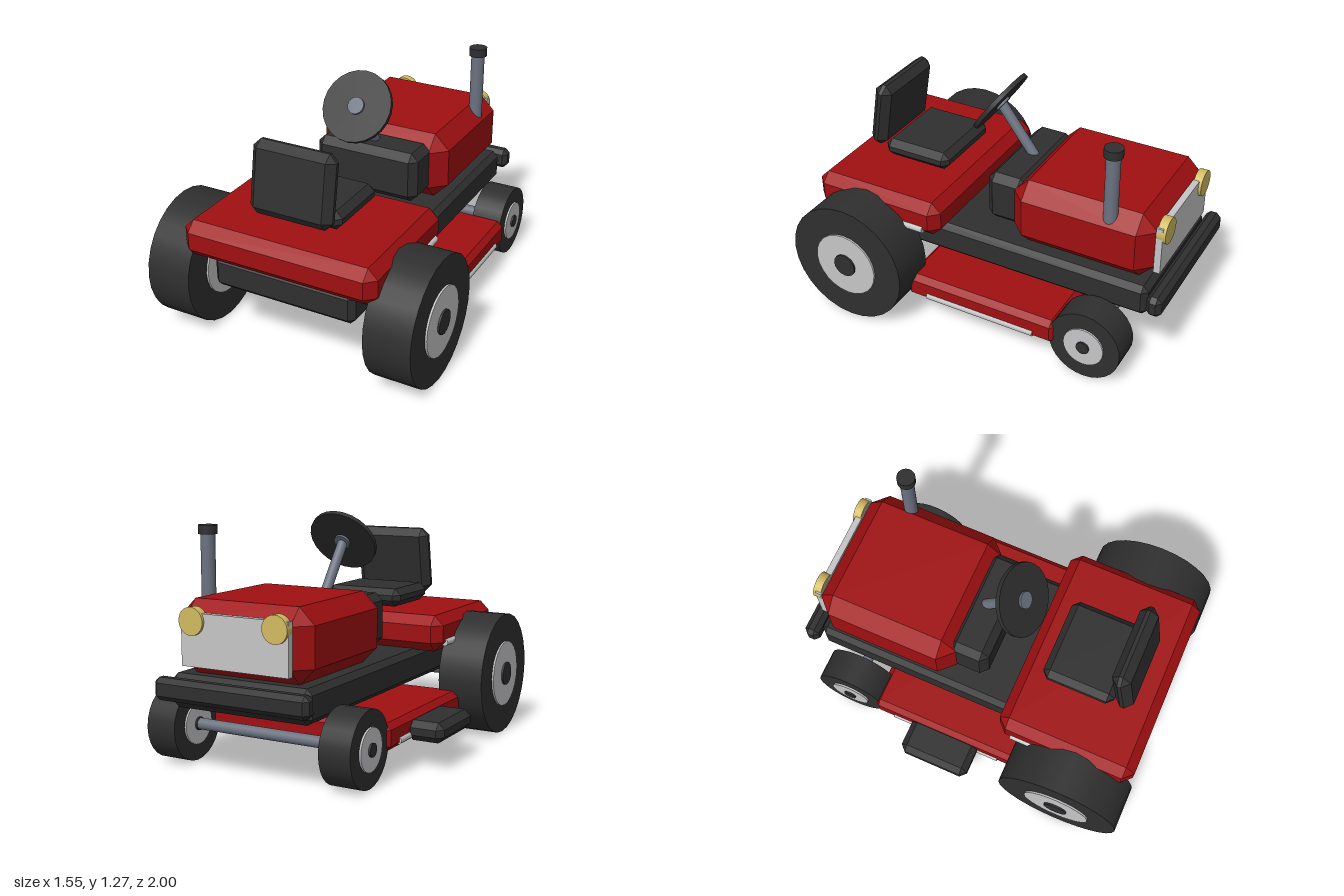
import * as THREE from 'three';
import { ConvexGeometry } from 'three/addons/geometries/ConvexGeometry.js';

const material = (name, color) => {
  const m = new THREE.MeshStandardMaterial({ color });
  m.name = name;
  return m;
};

// Box with flat chamfers on every edge
function chamferBox(w, h, d, b) {
  const pts = [];
  for (const sx of [-1, 1]) for (const sy of [-1, 1]) for (const sz of [-1, 1]) {
    const x = w / 2, y = h / 2, z = d / 2;
    pts.push(
      new THREE.Vector3(sx * x, sy * (y - b), sz * (z - b)),
      new THREE.Vector3(sx * (x - b), sy * y, sz * (z - b)),
      new THREE.Vector3(sx * (x - b), sy * (y - b), sz * z));
  }
  return new ConvexGeometry(pts);
}

export function createModel() {
  const red = material('red paint', 0xa00f11);
  const dark = material('black rubber and plastic', 0x2f2f30);
  const steel = material('blue grey steel', 0x6b7280);
  const light = material('light metal', 0xc6c6c8);
  const gold = material('lamp yellow', 0xd2bb62);

  const root = new THREE.Group();
  root.name = 'ridingMower';
  const model = new THREE.Group();
  model.name = 'body';
  model.position.x = 0.004;
  root.add(model);

  const add = (name, geo, mat, x, y, z, parent = model) => {
    const m = new THREE.Mesh(geo, mat);
    m.name = name;
    m.position.set(x, y, z);
    parent.add(m);
    return m;
  };
  // Chamfered box given by its extents
  const block = (name, mat, [x0, x1], [y0, y1], [z0, z1], b) =>
    add(name, chamferBox(x1 - x0, y1 - y0, z1 - z0, b), mat,
      (x0 + x1) / 2, (y0 + y1) / 2, (z0 + z1) / 2);
  // Cylinder along a chosen axis
  const rod = (name, mat, r, len, axis, x, y, z, parent, seg = 24) => {
    const g = new THREE.CylinderGeometry(r, r, len, seg);
    if (axis === 'x') g.rotateZ(Math.PI / 2);
    if (axis === 'z') g.rotateX(Math.PI / 2);
    return add(name, g, mat, x, y, z, parent);
  };

  // Frame and bodywork
  block('chassis', dark, [-0.4, 0.4], [0.34, 0.515], [-0.91, 0.91], 0.03);
  block('bumper', dark, [-0.44, 0.44], [0.39, 0.505], [-1, -0.917], 0.025);
  block('hood', red, [-0.38, 0.38], [0.513, 0.885], [-0.907, -0.115], 0.083);
  block('dashboard', dark, [-0.3, 0.3], [0.57, 0.848], [-0.17, 0.055], 0.04);
  block('rearFender', red, [-0.54, 0.54], [0.508, 0.706], [0.217, 0.977], 0.052);
  block('mowingDeck', red, [-0.605, 0.605], [0.143, 0.285], [-0.51, 0.38], 0.03);
  block('dischargeChute', dark, [-0.78, -0.575], [0.15, 0.255], [-0.27, 0.13], 0.033);

  // Seat
  block('seatCushion', dark, [-0.23, 0.23], [0.72, 0.82], [0.337, 0.735], 0.035);
  const back = add('seatBack', chamferBox(0.46, 0.38, 0.1, 0.04), dark, 0, 0.948, 0.762);
  back.rotation.x = -0.17;

  // Steering column and wheel
  const from = new THREE.Vector3(0, 0.8, -0.1), to = new THREE.Vector3(0, 1.1, 0.125);
  const column = rod('steeringColumn', steel, 0.028, from.distanceTo(to), 'y',
    0, (from.y + to.y) / 2, (from.z + to.z) / 2);
  column.quaternion.setFromUnitVectors(new THREE.Vector3(0, 1, 0), to.clone().sub(from).normalize());
  const steering = new THREE.Group();
  steering.name = 'steeringWheel';
  steering.position.set(0, 1.107, 0.128);
  steering.rotation.x = 0.95;
  model.add(steering);
  rod('steeringDisc', dark, 0.192, 0.024, 'y', 0, 0, 0, steering);
  rod('steeringHub', steel, 0.045, 0.05, 'y', 0, 0, 0, steering);

  // Exhaust
  rod('exhaustPipe', steel, 0.037, 0.5, 'y', 0.33, 0.95, -0.668);
  rod('exhaustCap', dark, 0.049, 0.046, 'y', 0.33, 1.208, -0.668);

  // Nose
  add('grille', new THREE.BoxGeometry(0.61, 0.265, 0.035), light, 0, 0.6975, -0.917);

  // Axles
  rod('rearAxle', steel, 0.04, 1.2, 'x', 0, 0.342, 0.66);
  rod('frontAxle', steel, 0.03, 1, 'x', 0, 0.203, -0.668);

  // Mirrored parts
  for (const s of [-1, 1]) {
    const side = s > 0 ? 'left' : 'right';
    rod(side + 'Headlight', gold, 0.07, 0.045, 'z', s * 0.238, 0.79, -0.927);
    rod(side + 'DeckRail', light, 0.021, 0.635, 'z', s * 0.594, 0.18, -0.067, model, 12);
    rod(side + 'FenderTrim', light, 0.02, 0.6, 'z', s * 0.535, 0.557, 0.6, model, 12);

    const wheels = [
      ['Rear', 0.62, 0.342, 0.66, 0.339, 0.25, 0.184, 0.065],
      ['Front', 0.503, 0.203, -0.668, 0.196, 0.17, 0.11, 0.035]];
    for (const [end, x, y, z, r, w, rimR, hubR] of wheels) {
      const wheel = new THREE.Group();
      wheel.name = side + end + 'Wheel';
      wheel.position.set(s * x, y, z);
      model.add(wheel);
      rod('tyre', dark, r, w, 'x', 0, 0, 0, wheel, 28);
      rod('rim', light, rimR, w + 0.02, 'x', 0, 0, 0, wheel);
      rod('hub', dark, hubR, w + 0.04, 'x', 0, 0, 0, wheel, 16);
    }
  }

  // Blade under the deck
  add('blade', new THREE.BoxGeometry(1.05, 0.012, 0.08), steel, 0, 0.14, -0.065);
  rod('bladeHub', light, 0.058, 0.03, 'y', 0, 0.143, -0.065);

  return root;
}
